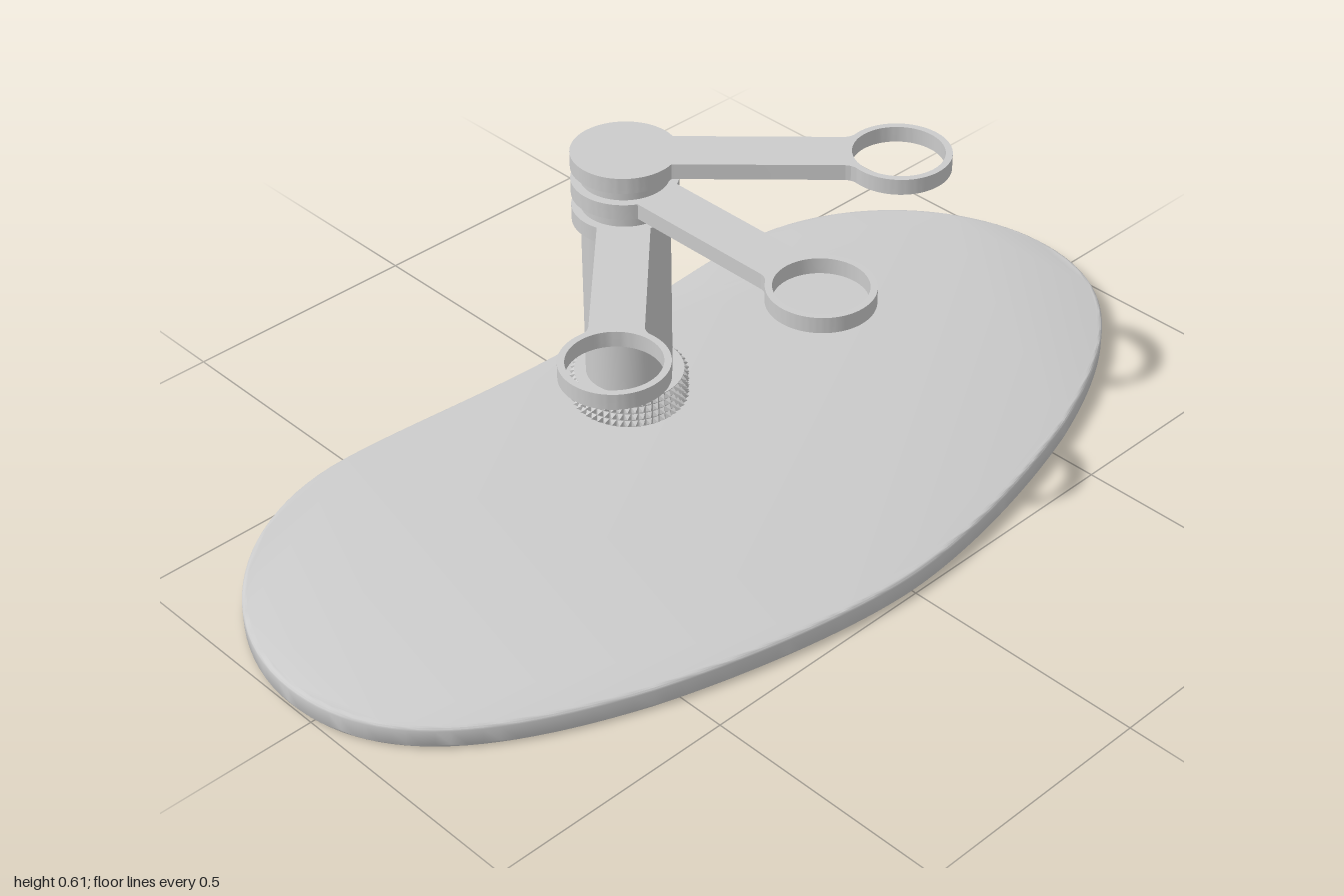
import * as THREE from 'three';
import { mergeGeometries, toCreasedNormals } from 'three/addons/utils/BufferGeometryUtils.js';

const POST_Z = -0.265;
const smooth = new THREE.MeshStandardMaterial({ color: 0xcccccc });
const faceted = new THREE.MeshStandardMaterial({ color: 0xcccccc, flatShading: true });

function part(name, geometry, material = smooth) {
  const mesh = new THREE.Mesh(geometry, material);
  mesh.name = name;
  return mesh;
}

// Kidney-shaped plate: one half outline, mirrored, with a softened rim
function basePlate() {
  const half = new THREE.Shape();
  half.moveTo(0, 0.47);
  half.bezierCurveTo(0.2, 0.47, 0.38, 0.5, 0.53, 0.5);
  half.bezierCurveTo(0.8, 0.5, 1, 0.28, 1, 0.06);
  half.bezierCurveTo(1, -0.15, 0.85, -0.28, 0.55, -0.39);
  half.bezierCurveTo(0.37, -0.45, 0.15, -0.495, 0, -0.495);
  const right = half.getPoints(24);
  const left = right.slice(1, -1).reverse().map(p => new THREE.Vector2(-p.x, p.y));
  const bevel = 0.009, height = 0.048;
  const geo = new THREE.ExtrudeGeometry(new THREE.Shape([...right, ...left]), {
    depth: height - 2 * bevel, bevelEnabled: true, bevelSize: bevel,
    bevelThickness: bevel, bevelOffset: -bevel, bevelSegments: 4,
  });
  geo.translate(0, 0, bevel).rotateX(-Math.PI / 2);
  return toCreasedNormals(geo, 0.6);
}

// Arm along +x: solid hub, straight bar, filleted neck and open ring
function armGeometry() {
  const hub = 0.102, ring = 0.1, hole = 0.087, w = 0.05, reach = 0.51, fillet = 0.03;
  const a = Math.asin(w / hub);
  const fy = w + fillet;
  const fx = reach - Math.sqrt((ring + fillet) ** 2 - fy ** 2);
  const b = Math.atan2(fy, fx - reach);
  const shape = new THREE.Shape();
  shape.absarc(0, 0, hub, a, 2 * Math.PI - a, false);
  shape.absarc(fx, -fy, fillet, Math.PI / 2, Math.PI - b, true);
  shape.absarc(reach, 0, ring, -b, b, false);
  shape.absarc(fx, fy, fillet, b - Math.PI, -Math.PI / 2, true);
  shape.closePath();
  const opening = new THREE.Path();
  opening.absarc(reach, 0, hole, 0, 2 * Math.PI, true);
  shape.holes.push(opening);
  const geo = new THREE.ExtrudeGeometry(shape, { depth: 0.032, bevelEnabled: false, curveSegments: 40 });
  geo.rotateX(-Math.PI / 2);
  return toCreasedNormals(geo, 0.6);
}

// Rows of small square pyramids around the collar
function knurling(radius, height, rows, columns) {
  const pitch = height / rows, depth = 0.012;
  const studs = [];
  for (let r = 0; r < rows; r++) {
    for (let c = 0; c < columns; c++) {
      const stud = new THREE.ConeGeometry(Math.SQRT1_2, 1, 4, 1, true);
      stud.rotateY(Math.PI / 4).rotateX(Math.PI / 2);
      stud.scale(2 * Math.PI * radius / columns, pitch, depth);
      stud.translate(0, (r + 0.5) * pitch, radius + depth / 2 - 0.001);
      stud.rotateY(c / columns * 2 * Math.PI);
      studs.push(stud);
    }
  }
  return mergeGeometries(studs);
}

export function createModel() {
  const model = new THREE.Group();
  model.name = 'armStand';
  model.add(part('basePlate', basePlate()));

  const column = new THREE.Group();
  column.name = 'column';
  column.position.z = POST_Z;
  model.add(column);

  const post = part('post', new THREE.CylinderGeometry(0.085, 0.085, 0.555, 64));
  post.position.y = 0.04 + 0.555 / 2;
  column.add(post);

  // Knurled collar at the foot of the post
  const collar = new THREE.Group();
  collar.name = 'collar';
  collar.position.y = 0.048;
  const body = part('collarBody', new THREE.CylinderGeometry(0.108, 0.108, 0.064, 64));
  body.position.y = 0.032;
  collar.add(body, part('collarKnurling', knurling(0.107, 0.064, 4, 48), faceted));
  column.add(collar);

  // Three arms fanned towards the front at rising heights
  const arm = armGeometry();
  [['lowerArm', 0.465, -135], ['middleArm', 0.523, -90], ['upperArm', 0.58, -45]]
    .forEach(([name, y, degrees]) => {
      const mesh = part(name, arm);
      mesh.position.y = y;
      mesh.rotation.y = THREE.MathUtils.degToRad(degrees);
      column.add(mesh);
    });

  return model;
}
